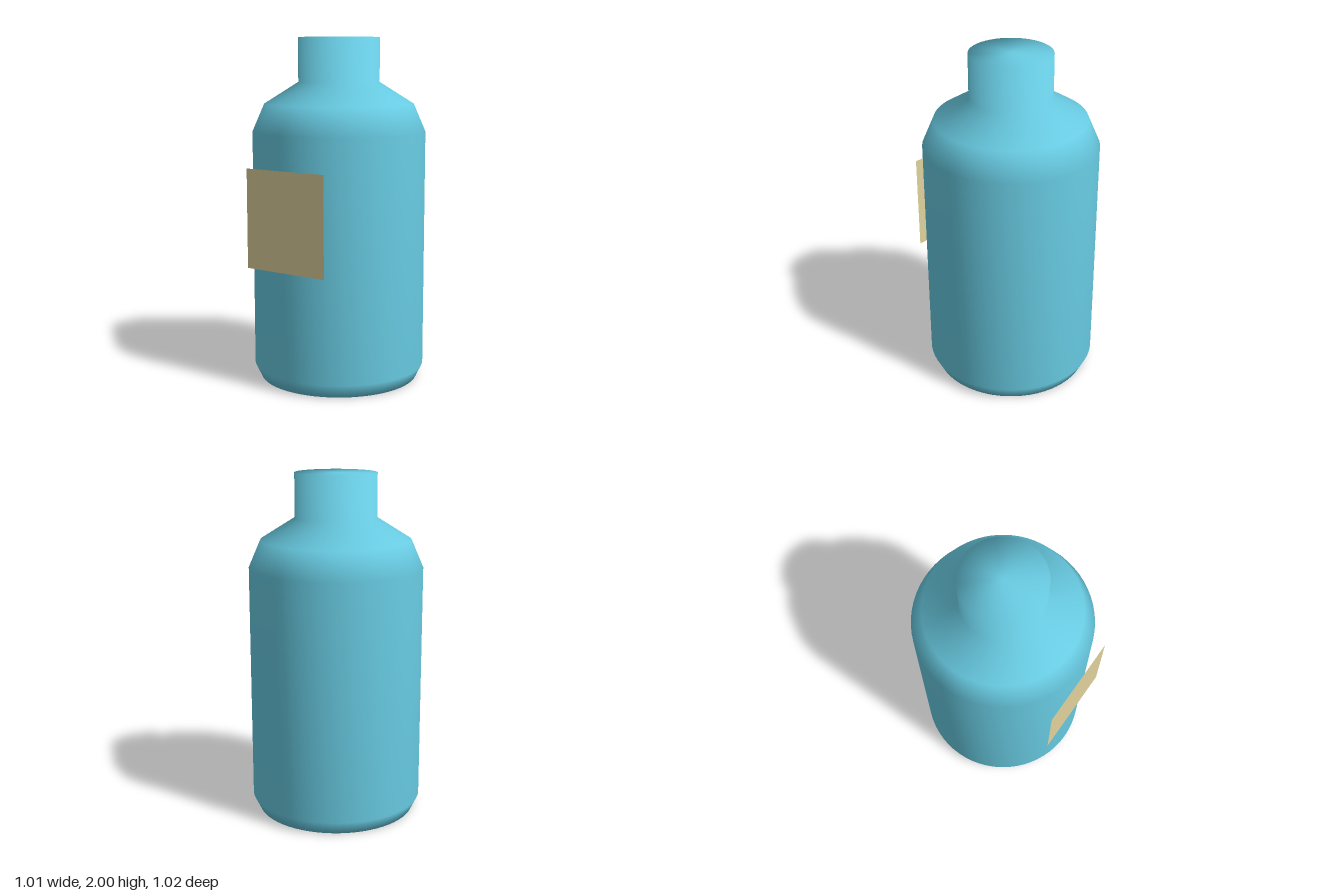
import * as THREE from 'three';
import { mergeVertices } from 'three/addons/utils/BufferGeometryUtils.js';

export function createModel() {
  const model = new THREE.Group();
  model.name = 'bottle';

  const glass = new THREE.MeshStandardMaterial({ color: 0x68cbe2 });
  glass.name = 'blue glass';
  const paper = new THREE.MeshStandardMaterial({ color: 0xe0d29c, side: THREE.DoubleSide });
  paper.name = 'tan paper';

  // Closed bottle: base, chamfer, wall, two shoulder slopes, neck and flat top
  const profile = [
    [0, 0], [0.465, 0], [0.504, 0.08], [0.504, 1.46],
    [0.435, 1.62], [0.236, 1.745], [0.236, 2], [0, 2],
  ].map(([r, y]) => new THREE.Vector2(r, y));
  const lathe = new THREE.LatheGeometry(profile, 64);

  // Weld the seam and poles so the whole surface shades smoothly
  lathe.deleteAttribute('normal');
  lathe.deleteAttribute('uv');
  const bodyGeometry = mergeVertices(lathe, 1e-4);
  bodyGeometry.computeVertexNormals();
  const body = new THREE.Mesh(bodyGeometry, glass);
  body.name = 'bottleBody';
  body.position.z = -0.006;
  model.add(body);

  // Flat label standing just off the front of the wall
  const label = new THREE.Mesh(new THREE.PlaneGeometry(0.535, 0.57), paper);
  label.name = 'label';
  label.position.set(-0.002, 0.985, 0.51);
  model.add(label);

  return model;
}
